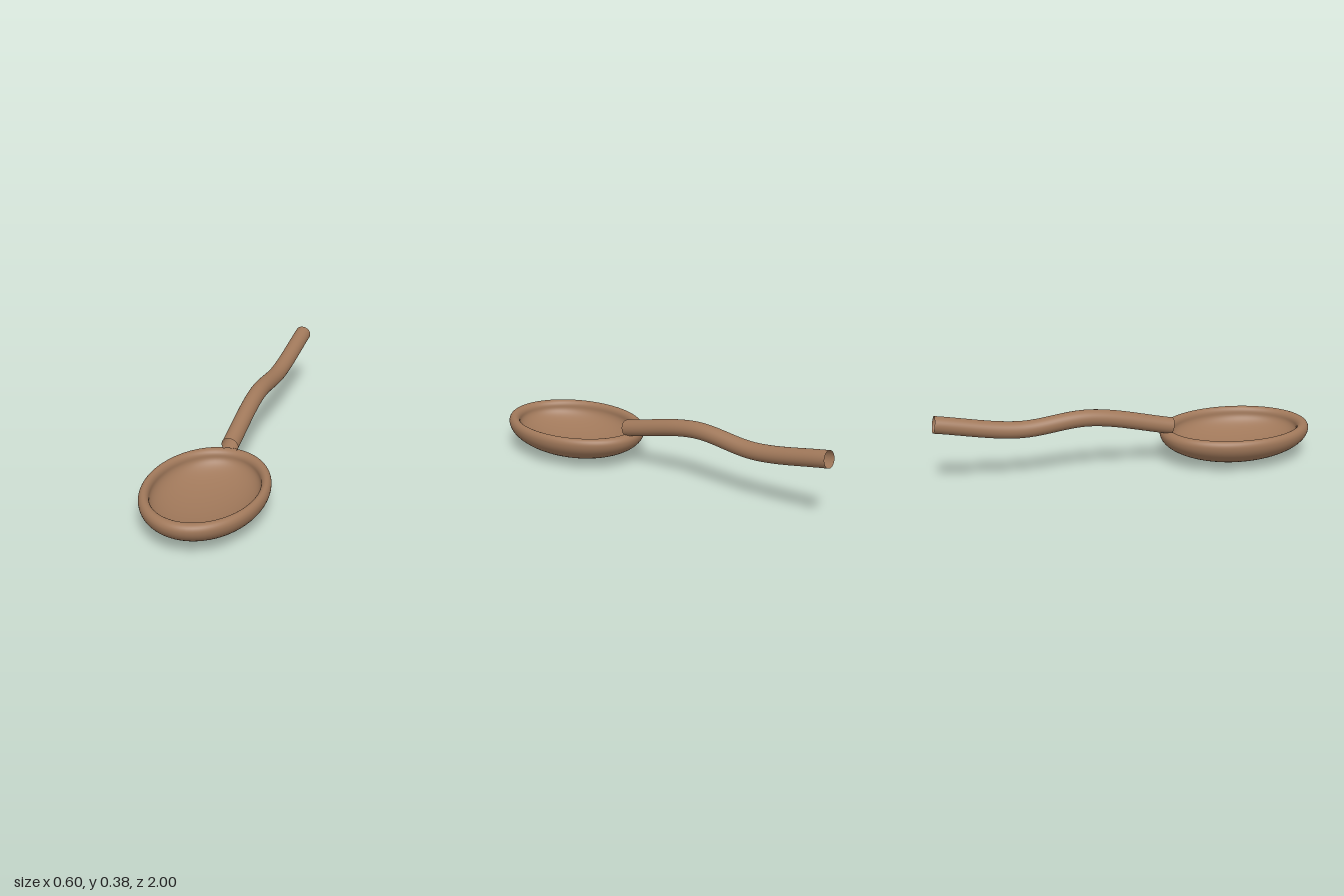
import * as THREE from 'three';

export function createModel() {
  const group = new THREE.Group();
  const wood = new THREE.MeshStandardMaterial({ color: 0xa0785a, side: THREE.DoubleSide });

  // Adds an elliptical arc to a lathe profile, angles in turns of PI
  const profile = [];
  const arc = (cx, cy, rx, ry, from, to, steps) => {
    for (let i = 0; i <= steps; i++) {
      const a = Math.PI * (from + (to - from) * i / steps);
      profile.push(new THREE.Vector2(Math.max(0, cx + rx * Math.cos(a)), cy + ry * Math.sin(a)));
    }
  };

  // Bowl: rounded underside, rolled rim, hollow inside; stretched to an oval
  arc(0, 0.15, 0.302, 0.148, -0.5, -0.02, 24);
  arc(0.278, 0.15, 0.024, 0.032, 0, 1, 14);
  arc(0, 0.15, 0.254, 0.105, -0.02, -0.5, 24);
  const bowl = new THREE.Mesh(new THREE.LatheGeometry(profile, 72), wood);
  bowl.name = 'bowl';
  bowl.scale.z = 1.345;
  bowl.position.z = 0.594;
  group.add(bowl);

  // Handle: gently waving open tube
  const path = new THREE.CatmullRomCurve3([
    new THREE.Vector3(0, 0.208, 0.237),
    new THREE.Vector3(0.002, 0.297, -0.2),
    new THREE.Vector3(0.012, 0.272, -0.57),
    new THREE.Vector3(0.031, 0.338, -0.99),
  ]);
  const handle = new THREE.Mesh(new THREE.TubeGeometry(path, 64, 0.043, 32, false), wood);
  handle.name = 'handle';
  group.add(handle);

  return group;
}
